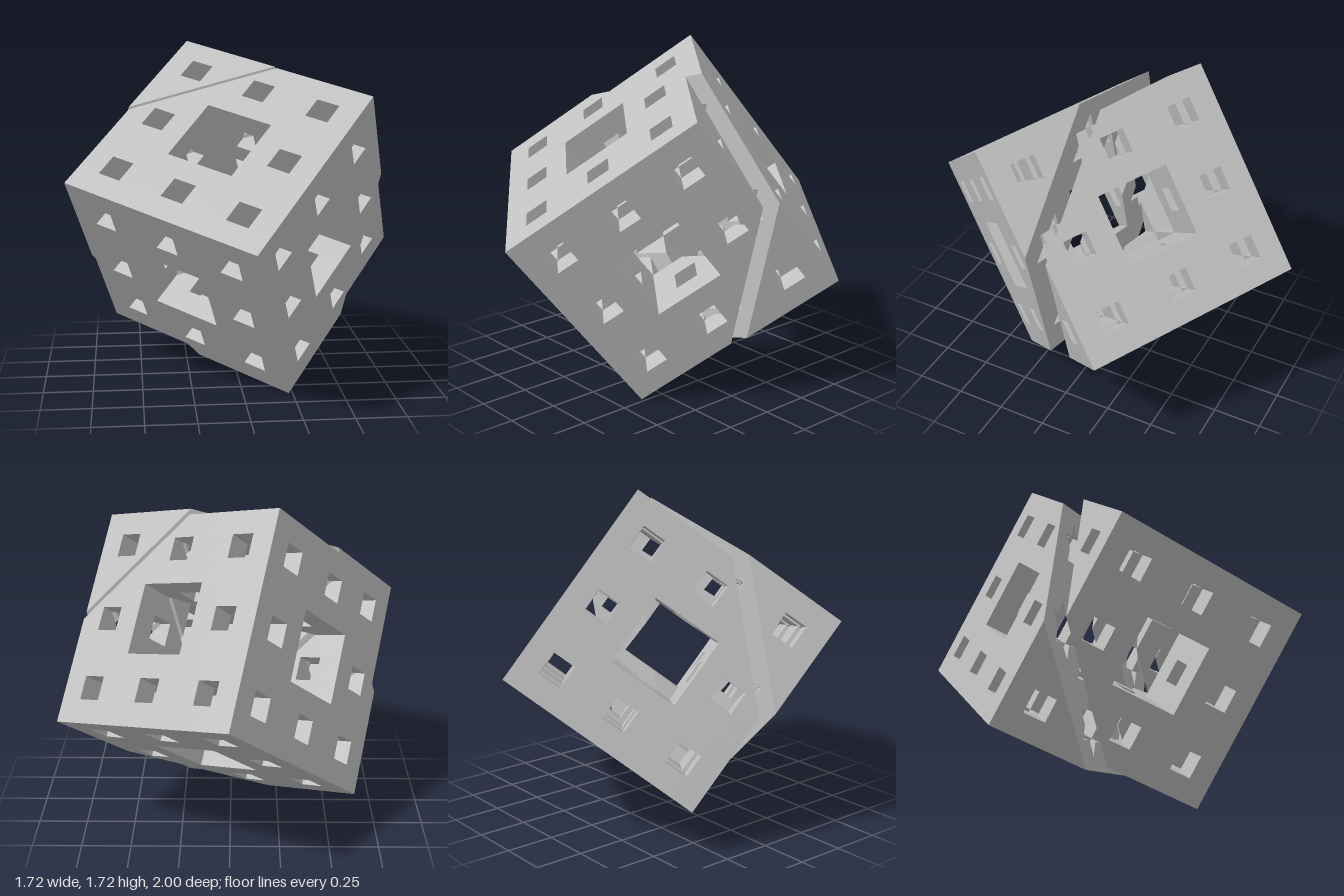
import * as THREE from 'three';

const GAP = 0.055;                          // half the space between the two pieces
const EDGE = (2 - 2 * GAP) / Math.sqrt(3);  // cube edge, body diagonal along z
const CUT = 13.5;                           // mid plane: i + j + k = 13.5 on the 9-cell grid

// A cell is removed when two or more of its base-3 digits are the middle one.
function solid(p) {
  if (p.some((v) => v < 0 || v > 8)) return false;
  const middle = (digit) => p.filter((v) => digit(v) === 1).length > 1;
  return !middle((v) => v % 3) && !middle((v) => Math.floor(v / 3));
}

// Rotation that stands the cube on its body diagonal, facing +z.
function cubeBasis() {
  const axes = [225, 345, 105].map((deg) => {
    const a = THREE.MathUtils.degToRad(deg), r = Math.sqrt(2 / 3);
    return new THREE.Vector3(r * Math.cos(a), r * Math.sin(a), 1 / Math.sqrt(3));
  });
  return new THREE.Matrix4().makeBasis(...axes);
}

const sum = (p) => p[0] + p[1] + p[2];

// Keep the part of a polygon on one side of the diagonal cut.
function clip(poly, side) {
  const out = [];
  poly.forEach((a, n) => {
    const b = poly[(n + 1) % poly.length];
    const da = side * (sum(a) - CUT), db = side * (sum(b) - CUT);
    if (da >= 0) out.push(a);
    if (da * db < 0) out.push(a.map((v, i) => v + (b[i] - v) * da / (da - db)));
  });
  return out;
}

// Section of one cell by the cut plane: midpoints of the crossed edges.
function section(cell) {
  const pts = [];
  for (let d = 0; d < 3; d++) for (let n = 0; n < 4; n++) {
    const p = cell.slice();
    p[(d + 1) % 3] += n & 1;
    p[(d + 2) % 3] += n >> 1;
    const t = CUT - sum(p);
    if (t > 0 && t < 1) { p[d] += t; pts.push(p); }
  }
  return pts;
}

// One half of the sponge; side = 1 for the front, -1 for the back.
function halfGeometries(side) {
  const basis = cubeBasis();
  const toWorld = (p) => new THREE.Vector3(...p.map((v) => (v / 9 - 0.5) * EDGE))
    .applyMatrix4(basis).add(new THREE.Vector3(0, 0, side * GAP));
  const walls = [], caps = [];
  const fan = (list, poly) => {
    for (let n = 1; n + 1 < poly.length; n++)
      for (const v of [poly[0], poly[n], poly[n + 1]]) list.push(v.x, v.y, v.z);
  };

  for (let i = 0; i < 9; i++) for (let j = 0; j < 9; j++) for (let k = 0; k < 9; k++) {
    const cell = [i, j, k];
    if (!solid(cell)) continue;
    // outer faces and tunnel walls
    for (let d = 0; d < 3; d++) for (const dir of [-1, 1]) {
      const next = cell.slice();
      next[d] += dir;
      if (solid(next)) continue;
      const quad = [[0, 0], [1, 0], [1, 1], [0, 1]].map(([u, v]) => {
        const p = cell.slice();
        if (dir > 0) p[d] += 1;
        p[(d + 1) % 3] += u;
        p[(d + 2) % 3] += v;
        return p;
      });
      if (dir < 0) quad.reverse();
      fan(walls, clip(quad, side).map(toWorld));
    }
    // cut surface
    const pts = section(cell).map(toWorld);
    if (pts.length > 2) {
      const c = pts.reduce((s, p) => s.add(p), new THREE.Vector3()).divideScalar(pts.length);
      const angle = (p) => Math.atan2(p.y - c.y, p.x - c.x);
      pts.sort((a, b) => side * (angle(b) - angle(a)));
      fan(caps, pts);
    }
  }
  return [walls, caps].map((list) => {
    const g = new THREE.BufferGeometry();
    g.setAttribute('position', new THREE.Float32BufferAttribute(list, 3));
    g.computeVertexNormals();
    return g;
  });
}

export function createModel() {
  const model = new THREE.Group();
  model.name = 'splitSponge';
  const stone = new THREE.MeshStandardMaterial({ color: 0xc0c0c0 });
  stone.name = 'light grey';

  for (const [name, side] of [['frontHalf', 1], ['backHalf', -1]]) {
    const half = new THREE.Group();
    half.name = name;
    halfGeometries(side).forEach((geometry, n) => {
      const mesh = new THREE.Mesh(geometry, stone);
      mesh.name = n ? 'cutSurface' : 'tunnelledBlock';
      half.add(mesh);
    });
    model.add(half);
  }
  // rest the lowest corner on the ground
  model.position.y = EDGE * Math.sqrt(2 / 3) * Math.sin(THREE.MathUtils.degToRad(75));
  return model;
}
